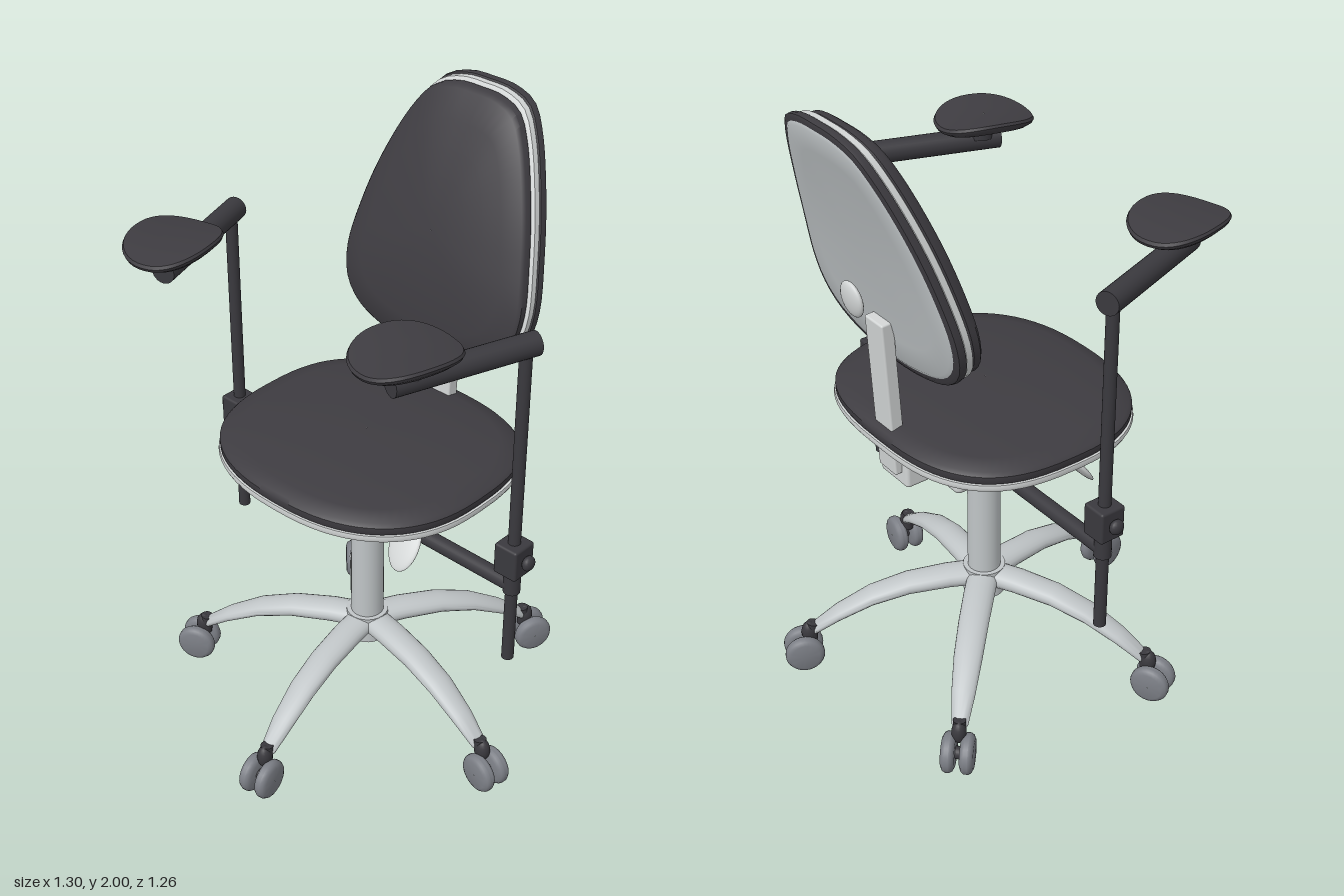
import * as THREE from 'three';
import { toCreasedNormals } from 'three/addons/utils/BufferGeometryUtils.js';
import { RoundedBoxGeometry } from 'three/addons/geometries/RoundedBoxGeometry.js';

const mat = (name, color) => Object.assign(new THREE.MeshStandardMaterial({ color }), { name });
const V = (x, y, z) => new THREE.Vector3(x, y, z);

// Skin over equal-length rings, each counter-clockwise about the direction of travel
function loft(rings) {
  const n = rings[0].length, pos = [], idx = [];
  rings.forEach(r => r.forEach(p => pos.push(p.x, p.y, p.z)));
  for (let i = 0; i < rings.length - 1; i++) {
    for (let j = 0; j < n; j++) {
      const a = i * n + j, b = i * n + (j + 1) % n;
      idx.push(a, b, b + n, a, b + n, a + n);
    }
  }
  const g = new THREE.BufferGeometry();
  g.setAttribute('position', new THREE.Float32BufferAttribute(pos, 3));
  g.setIndex(idx);
  return toCreasedNormals(g, 0.7);
}

// Cushion-like solid: rows of [outline scale, height], bent by a height rule
function pad(outline, rows, bend = () => 0) {
  return loft(rows.map(([s, h]) => outline.map(p => V(p.x * s, p.y * s, h + bend(p.x * s, p.y * s)))));
}

function superEllipse(a, b, nFor, count = 72) {
  return Array.from({ length: count }, (_, i) => {
    const t = i / count * Math.PI * 2, c = Math.cos(t), s = Math.sin(t), e = 2 / nFor(s);
    return new THREE.Vector2(a * Math.sign(c) * Math.abs(c) ** e, b * Math.sign(s) * Math.abs(s) ** e);
  });
}

export function createModel() {
  const fabric = mat('dark fabric', 0x3e3c41);
  const frame = mat('dark frame', 0x3a393e);
  const plastic = mat('light plastic', 0xd2d5d5);
  const metal = mat('pale metal', 0xc0c5c7);
  const wheelMat = mat('wheel grey', 0x7c7f86);

  const root = new THREE.Group();
  root.name = 'armrestChair';
  const chair = new THREE.Group();
  chair.name = 'chair';
  chair.position.x = -0.01;
  root.add(chair);

  const add = (name, geo, material, parent = chair, x = 0, y = 0, z = 0) => {
    const m = new THREE.Mesh(geo, material);
    m.name = name;
    m.position.set(x, y, z);
    parent.add(m);
    return m;
  };
  const rod = (name, a, b, r, material, parent = chair) => {
    const d = b.clone().sub(a), mid = a.clone().add(b).multiplyScalar(0.5);
    const m = add(name, new THREE.CylinderGeometry(r, r, d.length(), 24), material, parent, mid.x, mid.y, mid.z);
    m.quaternion.setFromUnitVectors(V(0, 1, 0), d.normalize());
    return m;
  };
  const box = (name, w, h, d, r, material, x, y, z, parent = chair) =>
    add(name, new RoundedBoxGeometry(w, h, d, 3, r), material, parent, x, y, z);

  // Five-spoke base with twin-wheel casters
  const base = new THREE.Group();
  base.name = 'base';
  base.position.z = -0.02;
  chair.add(base);
  const spokeRows = [[0, 0.295, 0.05, 0.035], [0.12, 0.295, 0.05, 0.033], [0.25, 0.283, 0.048, 0.03],
    [0.37, 0.25, 0.045, 0.026], [0.48, 0.195, 0.037, 0.023], [0.555, 0.145, 0.026, 0.02], [0.575, 0.13, 0.005, 0.005]];
  const spokeGeo = loft(spokeRows.map(([r, y, w, h]) => Array.from({ length: 20 }, (_, i) => {
    const t = i / 20 * Math.PI * 2;
    return V(w * Math.cos(t), y + h * Math.sin(t), r);
  })));
  const wheelProfile = [[0.001, -0.021], [0.046, -0.021], [0.058, -0.015], [0.0635, -0.006],
    [0.0635, 0.006], [0.058, 0.015], [0.046, 0.021], [0.001, 0.021]].map(p => new THREE.Vector2(...p));
  const wheelGeo = toCreasedNormals(new THREE.LatheGeometry(wheelProfile, 28), 0.7).rotateZ(Math.PI / 2);
  for (let i = 0; i < 5; i++) {
    const leg = new THREE.Group();
    leg.name = 'baseLeg';
    leg.rotation.y = THREE.MathUtils.degToRad(9.4 + 72 * i);
    base.add(leg);
    add('spoke', spokeGeo, metal, leg);
    rod('casterStem', V(0, 0.1, 0.57), V(0, 0.165, 0.562), 0.02, frame, leg);
    add('casterFork', new THREE.SphereGeometry(0.026, 16, 12), frame, leg, 0, 0.13, 0.575).scale.set(0.9, 1.5, 1);
    rod('casterAxle', V(-0.03, 0.0635, 0.595), V(0.03, 0.0635, 0.595), 0.02, frame, leg);
    for (const s of [-1, 1]) add('casterWheel', wheelGeo, wheelMat, leg, s * 0.029, 0.0635, 0.595);
  }
  rod('hub', V(0, 0.235, 0), V(0, 0.33, 0), 0.068, metal, base);
  rod('column', V(0, 0.28, 0), V(0, 0.79, 0), 0.053, metal, base);

  // Seat mechanism and adjusting levers
  box('mechanism', 0.325, 0.12, 0.38, 0.02, plastic, 0, 0.835, -0.05);
  box('mechanismRear', 0.14, 0.12, 0.14, 0.012, plastic, 0, 0.86, -0.285);
  box('seatMount', 0.24, 0.05, 0.26, 0.01, plastic, 0, 0.9, -0.05);
  for (const s of [-1, 1]) {
    rod('leverRod', V(s * 0.13, 0.885, -0.03), V(s * 0.25, 0.875, 0.07), 0.014, plastic);
    const paddle = add('leverPaddle', new THREE.SphereGeometry(1, 24, 16), plastic, chair, s * 0.275, 0.815, 0.112);
    paddle.scale.set(0.054, 0.09, 0.013);
    paddle.rotation.set(-0.66, 0, s * 0.2);
  }
  const rearLever = rod('rearLever', V(0.13, 0.91, -0.05), V(0.23, 0.87, -0.16), 0.02, plastic);
  rearLever.scale.z = 0.6;

  // Seat: light shell under a domed cushion
  const seat = new THREE.Group();
  seat.name = 'seat';
  seat.position.set(0, 0, -0.015);
  chair.add(seat);
  const seatOutline = superEllipse(0.452, 0.402, s => (s > 0 ? 2.8 : 2.4));
  add('seatShell', pad(seatOutline, [[0.002, 0.9], [0.35, 0.903], [0.65, 0.917], [0.9, 0.935],
    [0.99, 0.943], [1, 0.952], [0.995, 0.964], [0.002, 0.966]]).rotateX(-Math.PI / 2), plastic, seat);
  add('seatCushion', pad(seatOutline, [[0.002, 0.962], [0.975, 0.962], [0.988, 0.972], [0.988, 0.99], [0.965, 1.001],
    [0.85, 1.012], [0.6, 1.025], [0.3, 1.033], [0.002, 1.035]]).rotateX(-Math.PI / 2), fabric, seat);

  // Backrest: layered egg shapes on a backward-leaning curve
  const back = new THREE.Group();
  back.name = 'backrest';
  back.position.y = 1.6;
  chair.add(back);
  const half = [[0.155, -0.385], [0.275, -0.34], [0.335, -0.275], [0.355, -0.18], [0.33, -0.02],
    [0.285, 0.14], [0.215, 0.3], [0.16, 0.37], [0.08, 0.397]];
  const eggPoints = [[0, -0.402], ...half, [0, 0.4], ...half.map(([x, y]) => [-x, y]).reverse()];
  const egg = new THREE.CatmullRomCurve3(eggPoints.map(([x, y]) => V(x, y, 0)), true, 'centripetal')
    .getSpacedPoints(72).slice(0, 72);
  const lean = (x, y) => {
    const t = (y + 0.4) / 0.8;
    return -0.34 - 0.13 * t - 0.105 * t * t;
  };
  // Inner rings are closely spaced so flat faces follow the curve
  const face = (h, from, rise = 0) => [1, 0.8, 0.6, 0.4, 0.2, 0.002].map(k => [k * from, h + rise * (1 - k * k)]);
  add('backRim', pad(egg, [...face(0.004, 0.97).reverse(), [0.995, 0.01], [1, 0.02], [0.995, 0.034],
    ...face(0.036, 0.97)], lean), fabric, back);
  add('backShell', pad(egg, [...face(0.034, 0.97).reverse(), [0.985, 0.038], [0.985, 0.058],
    ...face(0.062, 0.96)], lean), plastic, back);
  add('backCushion', pad(egg, [...face(0.062, 0.95).reverse(), [0.965, 0.068], [0.965, 0.09],
    ...face(0.1, 0.94, 0.04)], lean), fabric, back);
  add('backPanel', pad(egg, [...face(-0.002, 0.92, -0.008).reverse(), [0.945, 0.004], ...face(0.01, 0.94)], lean), metal, back);
  const knob = add('backKnob', new THREE.SphereGeometry(1, 24, 16), plastic, chair, 0, 1.455, -0.473);
  knob.scale.set(0.052, 0.056, 0.017);
  knob.rotation.x = -0.12;
  const upright = box('backUpright', 0.088, 0.52, 0.042, 0.006, plastic, 0, 1.105, -0.372);
  upright.rotation.x = -0.06;

  // Armrests on clamped posts joined by a crossbar
  const armZ = -0.025;
  rod('crossbar', V(-0.575, 0.74, armZ), V(0.575, 0.74, armZ), 0.025, frame);
  const padOutline = superEllipse(0.132, 0.156, () => 2.25, 48);
  const padRows = [[0.002, -0.03], [0.5, -0.028], [0.85, -0.02], [0.97, -0.008], [1, 0.002],
    [0.97, 0.011], [0.7, 0.014], [0.35, 0.015], [0.002, 0.015]];
  for (const s of [-1, 1]) {
    const arm = new THREE.Group();
    arm.name = s > 0 ? 'leftArmrest' : 'rightArmrest';
    chair.add(arm);
    rod('post', V(s * 0.575, 0.46, armZ), V(s * 0.575, 1.56, armZ), 0.019, frame, arm);
    add('postFoot', new THREE.SphereGeometry(0.019, 16, 10), frame, arm, s * 0.575, 0.468, armZ).scale.y = 0.7;
    rod('postSleeve', V(s * 0.575, 0.715, armZ), V(s * 0.575, 0.8, armZ), 0.026, frame, arm);
    box('clamp', 0.082, 0.105, 0.086, 0.008, frame, s * 0.575, 0.843, armZ, arm);
    rod('clampScrew', V(s * 0.6, 0.847, armZ), V(s * 0.63, 0.847, armZ), 0.012, frame, arm);
    add('clampKnob', new THREE.SphereGeometry(0.024, 16, 12), frame, arm, s * 0.63, 0.847, armZ).scale.x = 0.7;
    rod('armTube', V(s * 0.585, 1.56, -0.055), V(s * 0.44, 1.56, 0.37), 0.036, frame, arm);
    rod('padMount', V(s * 0.455, 1.57, 0.31), V(s * 0.455, 1.62, 0.31), 0.04, frame, arm);
    const saddle = (x, y) => 1.1 * x * x - 0.4 * y * y;
    const armPad = add('armPad', pad(padOutline, padRows, saddle).rotateX(-Math.PI / 2), fabric, arm, s * 0.447, 1.632, 0.318);
    armPad.rotation.y = -s * 0.25;
  }
  return root;
}
